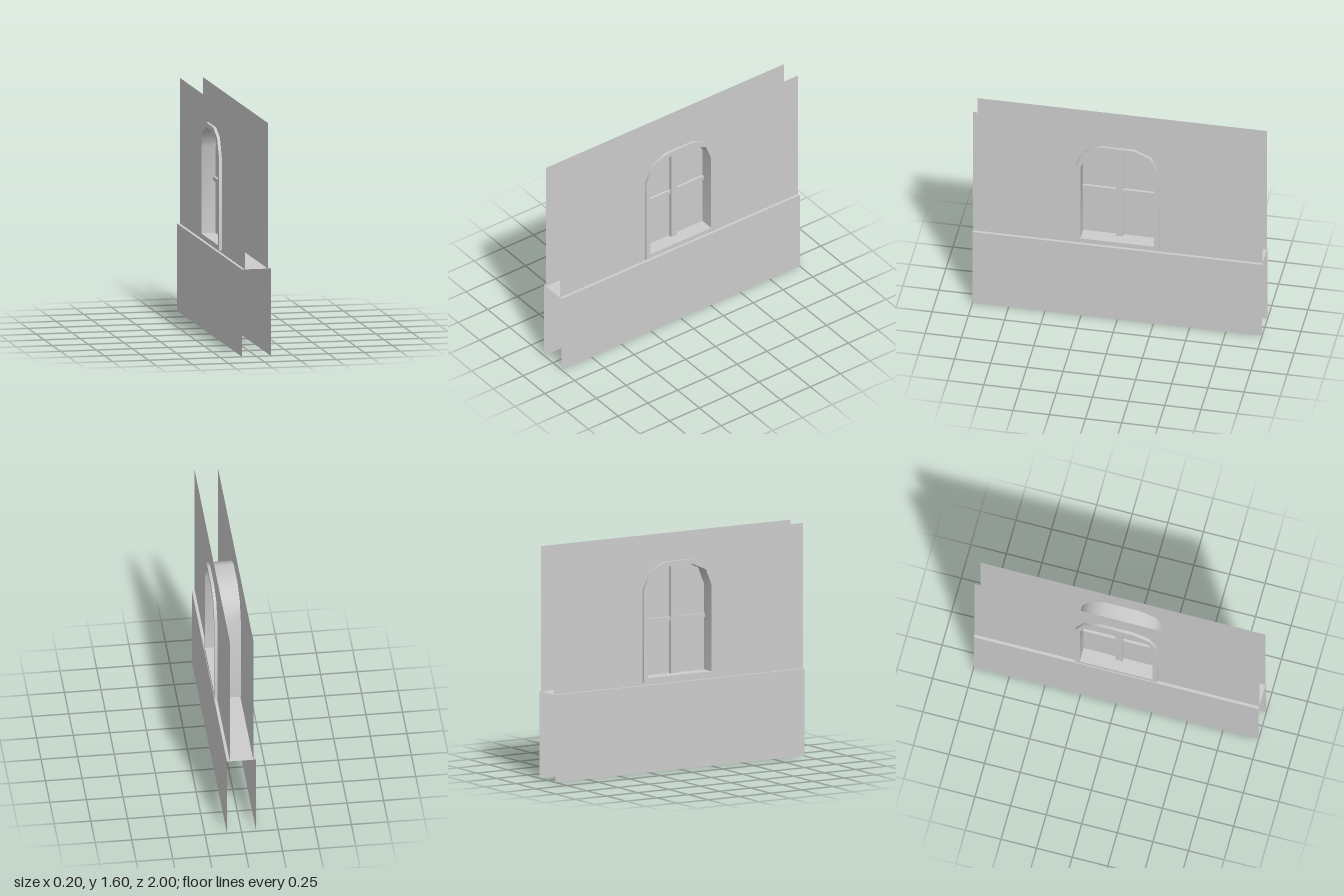
import * as THREE from 'three';
import { toCreasedNormals } from 'three/addons/utils/BufferGeometryUtils.js';

// Half profiles of the arched frame: [z, y] from the bottom corner to the top
const OUTER = [[0.287, 0.617], [0.287, 1.258], [0.23, 1.384], [0.114, 1.436]];
const INNER = [[0.255, 0.65], [0.255, 1.245], [0.209, 1.356], [0.104, 1.403]];

const WALL_X = 0.08;   // upper wall faces
const BASE_X = 0.1;    // lower wall faces and window frame
const LEDGE_Y = 0.6;
const TOP_Y = 1.6;

// Mirror a half profile into a closed outline
function archPoints(half) {
  const right = half.map(([z, y]) => new THREE.Vector2(z, y));
  const left = half.map(([z, y]) => new THREE.Vector2(-z, y)).reverse();
  return [...right, ...left];
}

export function createModel() {
  const model = new THREE.Group();
  model.name = 'wallWithWindow';
  const plaster = new THREE.MeshStandardMaterial({ color: 0xcccccc, side: THREE.DoubleSide });
  plaster.name = 'plaster grey';

  function add(name, geometry, x = 0, y = 0, z = 0) {
    const mesh = new THREE.Mesh(geometry, plaster);
    mesh.name = name;
    mesh.position.set(x, y, z);
    model.add(mesh);
    return mesh;
  }

  // Upper wall sheet with an arched opening, hidden edge under the frame
  const wall = new THREE.Shape([
    new THREE.Vector2(-1, LEDGE_Y), new THREE.Vector2(1, LEDGE_Y),
    new THREE.Vector2(1, TOP_Y), new THREE.Vector2(-1, TOP_Y),
  ]);
  wall.holes.push(new THREE.Path(archPoints(OUTER)));

  for (const side of [1, -1]) {
    const label = side > 0 ? 'left' : 'right';
    const turn = side * Math.PI / 2;
    add(label + 'UpperWall', new THREE.ShapeGeometry(wall).rotateY(turn), side * WALL_X);
    add(label + 'LowerWall', new THREE.PlaneGeometry(2, LEDGE_Y).rotateY(turn), side * BASE_X, LEDGE_Y / 2);
  }

  // Ledge closing the top of the lower wall
  add('ledge', new THREE.PlaneGeometry(BASE_X * 2, 2).rotateX(-Math.PI / 2), 0, LEDGE_Y);

  // Arched frame through the full wall depth
  const frame = new THREE.Shape(archPoints(OUTER));
  frame.holes.push(new THREE.Path(archPoints(INNER)));
  const frameGeometry = new THREE.ExtrudeGeometry(frame, { depth: BASE_X * 2, bevelEnabled: false });
  frameGeometry.translate(0, 0, -BASE_X).rotateY(Math.PI / 2);
  add('windowFrame', toCreasedNormals(frameGeometry, 0.9));

  // Pane in the middle of the wall
  const pane = new THREE.Shape(archPoints(INNER));
  add('windowPane', new THREE.ShapeGeometry(pane).rotateY(Math.PI / 2));

  // Glazing bars standing out on both sides of the pane
  add('mullion', new THREE.BoxGeometry(0.05, 0.753, 0.048), 0, 1.0265, 0);
  for (const side of [1, -1]) {
    add(side > 0 ? 'frontGlazingBar' : 'backGlazingBar',
      new THREE.BoxGeometry(0.036, 0.027, 0.231), 0, 1.026, side * 0.1395);
  }

  return model;
}
